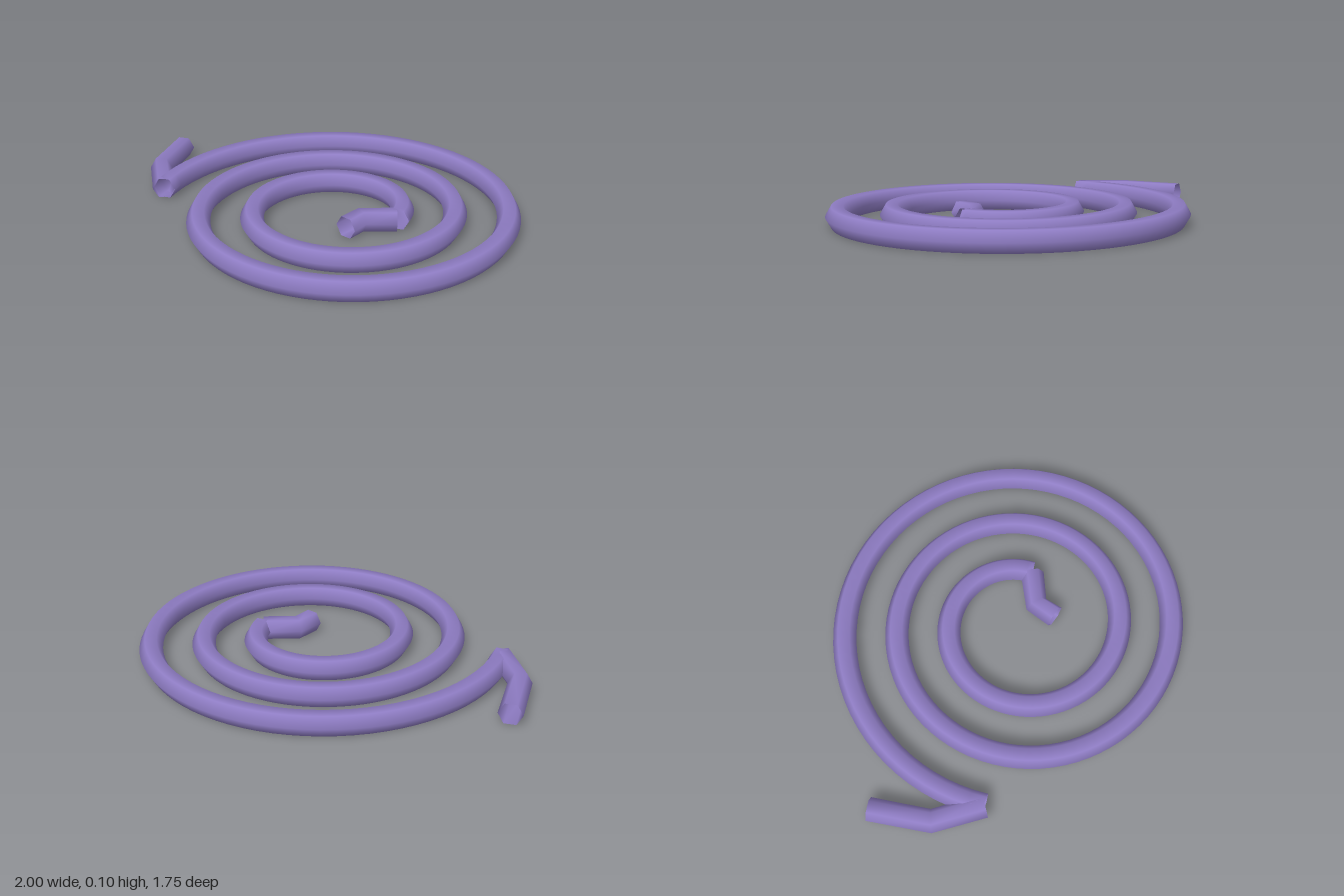
import * as THREE from 'three';

const RADIUS = 0.0585; // hexagonal tube, corners pointing sideways
const SIDES = 6;
const HEIGHT = RADIUS * Math.sin(Math.PI / 3);

// Sweeps an open hexagonal tube along a flat path of [x, z] points.
function sweep(path) {
  const positions = [], index = [];
  const pts = path.map(([x, z]) => new THREE.Vector3(x, HEIGHT, z));
  const up = new THREE.Vector3(0, 1, 0);
  const last = pts.length - 1;
  pts.forEach((p, i) => {
    const tangent = new THREE.Vector3();
    if (i > 0) tangent.add(p.clone().sub(pts[i - 1]).normalize());
    if (i < last) tangent.add(pts[i + 1].clone().sub(p).normalize());
    const side = up.clone().cross(tangent).normalize();
    for (let j = 0; j < SIDES; j++) {
      const a = (j / SIDES) * Math.PI * 2;
      const v = p.clone()
        .addScaledVector(side, RADIUS * Math.cos(a))
        .addScaledVector(up, RADIUS * Math.sin(a));
      positions.push(v.x, v.y, v.z);
      if (i < last) {
        const k = (j + 1) % SIDES, r = i * SIDES, s = r + SIDES;
        index.push(r + j, r + k, s + j, r + k, s + k, s + j);
      }
    }
  });
  const geometry = new THREE.BufferGeometry();
  geometry.setAttribute('position', new THREE.Float32BufferAttribute(positions, 3));
  geometry.setIndex(index);
  geometry.computeVertexNormals();
  return geometry;
}

export function createModel() {
  const group = new THREE.Group();
  group.name = 'spiralCoil';
  const purple = new THREE.MeshStandardMaterial({ color: 0x8e7cc3, side: THREE.DoubleSide });
  purple.name = 'purple';

  const add = (name, path) => {
    const mesh = new THREE.Mesh(sweep(path), purple);
    mesh.name = name;
    group.add(mesh);
  };

  // Two and a half turns, shrinking evenly towards the centre
  const TURNS = 2.5, STEPS = 200, spiral = [];
  for (let i = 0; i <= STEPS; i++) {
    const turn = (i / STEPS) * TURNS;
    const a = turn * Math.PI * 2;
    const r = 0.946 - 0.2625 * turn;
    spiral.push([0.127 - r * Math.cos(a), 0.063 - r * Math.sin(a)]);
  }
  add('spiralTube', spiral);

  // Bent end pieces
  add('outerEnd', [[-0.942, -0.48], [-0.942, -0.173], [-0.822, 0.063]]);
  add('innerEnd', [[0.412, 0.066], [0.246, 0.118], [0.198, 0.222]]);

  return group;
}
